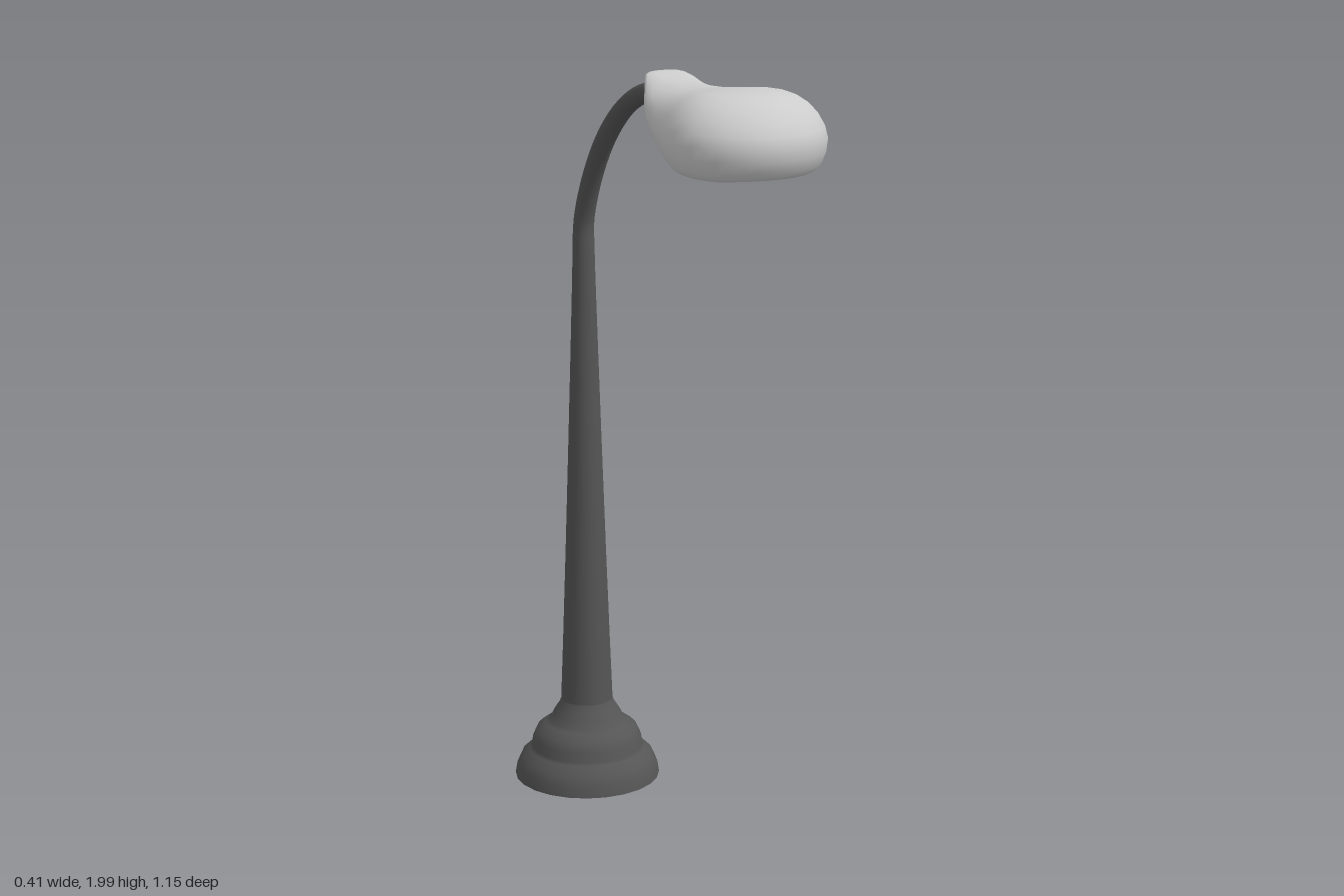
import * as THREE from 'three';
import { mergeVertices } from 'three/addons/utils/BufferGeometryUtils.js';

const POST_Z = -0.378;
const v2 = (p) => new THREE.Vector2(p[0], p[1]);

// Piecewise smooth lookup of a height along z
function heightAt(table, z) {
  if (z <= table[0][0]) return table[0][1];
  for (let i = 1; i < table.length; i++) {
    const [z0, y0] = table[i - 1], [z1, y1] = table[i];
    if (z <= z1) return THREE.MathUtils.lerp(y0, y1, (z - z0) / (z1 - z0));
  }
  return table[table.length - 1][1];
}

// Pear-shaped hollow shade, made of nested outline loops
function shadeGeometry() {
  const half = [[0.045, 0.045], [0.078, 0.07], [0.115, 0.13], [0.145, 0.205], [0.18, 0.3],
    [0.203, 0.39], [0.193, 0.46], [0.15, 0.52], [0.08, 0.562]];
  half[0] = [0.045, 0.025];
  const pts = [[0, 0.016], ...half, [0, 0.576], ...half.slice().reverse().map(([x, z]) => [-x, z])];
  const outline = new THREE.CatmullRomCurve3(pts.map(([x, z]) => new THREE.Vector3(x, 0, z)), true);
  const top = [[0.02, 2.0], [0.06, 1.997], [0.11, 1.985], [0.17, 1.973], [0.23, 1.969],
    [0.3, 1.975], [0.37, 1.982], [0.43, 1.985], [0.5, 1.985], [0.58, 1.97]];
  const bottom = [[0.02, 1.9], [0.06, 1.885], [0.15, 1.852], [0.25, 1.825], [0.33, 1.804],
    [0.4, 1.79], [0.48, 1.784], [0.58, 1.787]];
  // [outline scale, height fraction]: over the top, round the rim, up inside
  const layers = [[0, 1], [0.2, 1], [0.4, 0.985], [0.55, 0.955], [0.68, 0.9], [0.8, 0.81], [0.9, 0.69],
    [0.97, 0.55], [1, 0.41], [0.985, 0.25], [0.94, 0.11], [0.88, 0.03], [0.82, 0],
    [0.79, 0.03], [0.8, 0.12], [0.83, 0.3], [0.78, 0.52], [0.66, 0.7], [0.45, 0.82], [0.2, 0.87], [0, 0.88]];
  const n = 48, centre = 0.33, pos = [], index = [];
  layers.forEach(([k, h], i) => {
    for (let j = 0; j < n; j++) {
      const p = outline.getPoint(j / n);
      const z = centre + (p.z - centre) * k;
      // the narrow end is lifted into an upright lip
      const lift = 1 - THREE.MathUtils.smoothstep(z, 0.02, 0.16);
      const f = Math.pow(h, 1 - 0.85 * lift);
      pos.push(p.x * k, THREE.MathUtils.lerp(heightAt(bottom, z), heightAt(top, z), f), z);
      if (i > 0) {
        const j1 = (j + 1) % n;
        const a = (i - 1) * n + j, b = (i - 1) * n + j1, c = i * n + j, d = i * n + j1;
        index.push(a, b, d, a, d, c);
      }
    }
  });
  let g = new THREE.BufferGeometry();
  g.setAttribute('position', new THREE.Float32BufferAttribute(pos, 3));
  g.setIndex(index);
  g = mergeVertices(g, 1e-5);
  g.computeVertexNormals();
  return g;
}

// Tube whose radius changes evenly from start to end
function taperedTube(curve, r0, r1, steps, sides) {
  const g = new THREE.TubeGeometry(curve, steps, 1, sides, false);
  const pos = g.attributes.position, p = new THREE.Vector3();
  for (let i = 0; i <= steps; i++) {
    const c = curve.getPointAt(i / steps);
    const r = THREE.MathUtils.lerp(r0, r1, i / steps);
    for (let j = 0; j <= sides; j++) {
      const k = i * (sides + 1) + j;
      p.fromBufferAttribute(pos, k).sub(c).multiplyScalar(r).add(c);
      pos.setXYZ(k, p.x, p.y, p.z);
    }
  }
  return g;
}

export function createModel() {
  const group = new THREE.Group();
  const dark = new THREE.MeshStandardMaterial({ color: 0x555555, side: THREE.DoubleSide });
  const grey = new THREE.MeshStandardMaterial({ color: 0xcccccc, side: THREE.DoubleSide });
  const add = (name, geometry, material) => {
    const mesh = new THREE.Mesh(geometry, material);
    mesh.name = name;
    group.add(mesh);
    return mesh;
  };

  // Stepped base, open underneath
  const base = [[0.2, 0], [0.195, 0.03], [0.182, 0.058], [0.16, 0.077], [0.154, 0.085], [0.15, 0.11],
    [0.138, 0.135], [0.115, 0.152], [0.103, 0.16], [0.093, 0.18], [0.078, 0.203], [0.071, 0.22]];
  add('base', new THREE.LatheGeometry(base.map(v2), 24), dark).position.z = POST_Z;

  // Tapered post
  const post = [[0.071, 0.22], [0.064, 0.4], [0.055, 0.65], [0.046, 0.92], [0.037, 1.2], [0.031, 1.4], [0.028, 1.53]];
  add('post', new THREE.LatheGeometry(post.map(v2), 24), dark).position.z = POST_Z;

  // Curved arm reaching forward into the shade
  const path = [[1.5, POST_Z], [1.56, -0.374], [1.68, -0.327], [1.795, -0.25], [1.88, -0.155],
    [1.925, -0.06], [1.936, 0.02], [1.935, 0.07]];
  const curve = new THREE.CatmullRomCurve3(path.map(([y, z]) => new THREE.Vector3(0, y, z)));
  add('arm', taperedTube(curve, 0.028, 0.024, 32, 16), dark);

  // Lamp shade
  add('shade', shadeGeometry(), grey);
  return group;
}
